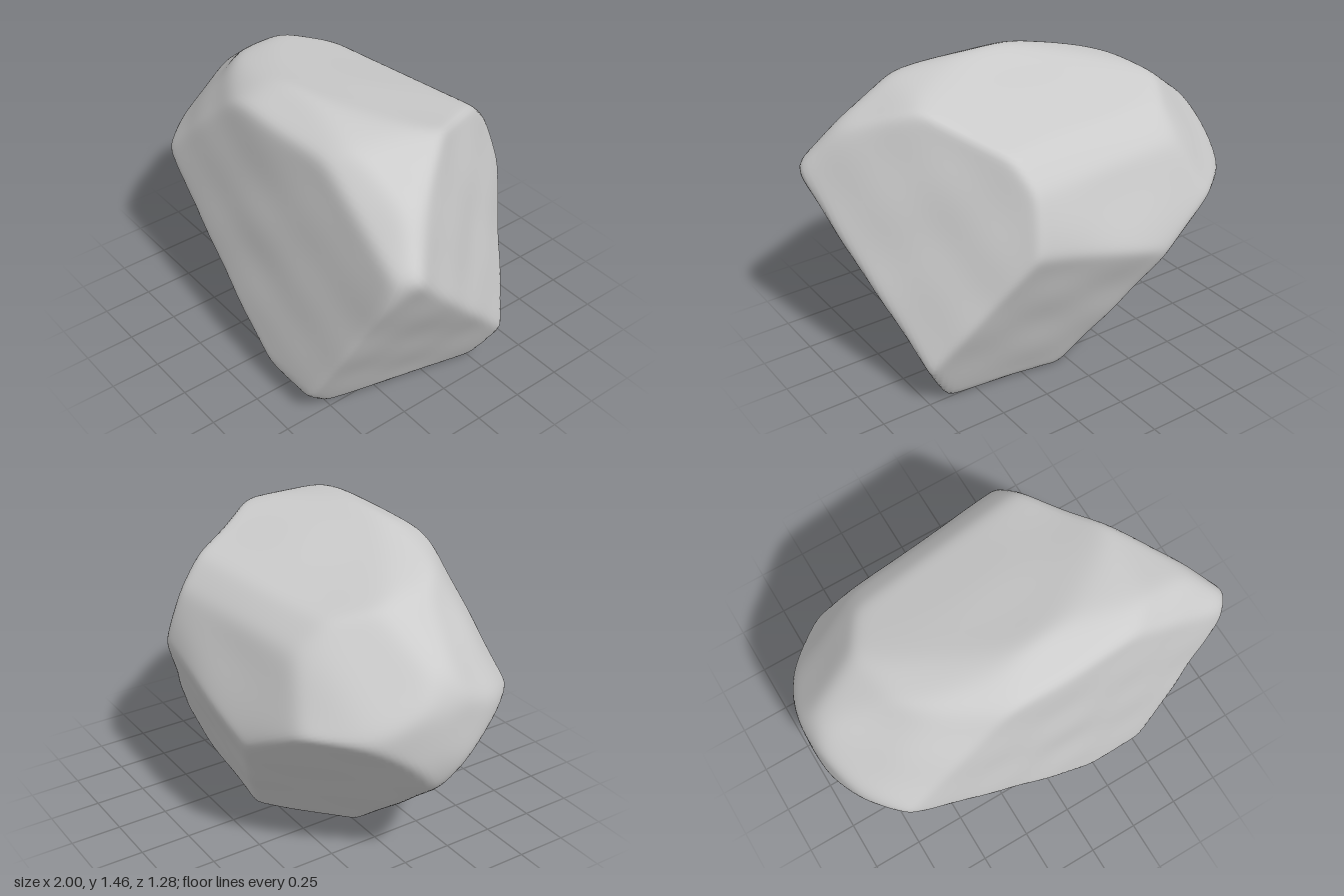
import * as THREE from 'three';
import { mergeVertices } from 'three/addons/utils/BufferGeometryUtils.js';

// Facets of the boulder: outward normal and distance from the origin.
const facets = [
  // base and the small bevels around it
  [0, -1, 0, 0], [0, -0.68, 0.73, 0.375], [0.55, -0.83, 0, 0.375],
  // broad front, bent very slightly along the middle
  [-0.05, 0.12, 0.99, 0.665], [0.04, 0.12, 0.99, 0.665],
  // lower left cut on the front, the two large right cuts and the blunt right tip
  [-0.51, -0.644, 0.569, 0.175], [0.873, -0.443, 0.204, 0.515], [0.805, 0.256, -0.535, 0.87],
  [0.75, 0, 0.66, 1.045],
  // undercut back, upright back and the rounded back shoulder
  [0.12, -0.37, -0.92, 0.31], [0, 0.2, -0.98, 0.79], [-0.25, 0, -0.97, 0.705],
  [-0.1, 0.72, -0.69, 1.17], [-0.12, 0.35, -0.93, 0.875], [-0.5, 0.5, -0.7, 1.13],
  // sloping top and its rounded rim
  [-0.057, 0.956, -0.287, 1.315], [0.115, 0.993, 0, 1.48], [-0.23, 0.97, 0, 1.435],
  [0.46, 0.89, 0, 1.525], [0.78, 0.62, 0, 1.445], [0, 0.9, 0.43, 1.455], [0, 0.6, 0.8, 1.225],
  [-0.47, 0.54, 0.7, 1.18], [-0.65, 0.6, 0.47, 1.285], [-0.3, 0.85, 0.43, 1.425], [0.4, 0.65, 0.65, 1.39],
  // rounded left end
  [-1, 0, 0, 1.015], [-0.95, 0, 0.3, 0.985], [-0.95, 0, -0.3, 0.985],
  [-0.8, 0, 0.6, 0.955], [-0.8, 0, -0.6, 0.935], [-0.61, 0.79, 0, 1.43], [-0.9, 0.44, 0, 1.32],
  [-0.6, 0.6, -0.5, 1.23],
  // underside of the left end
  [-0.65, -0.76, 0, 0.23], [-0.95, -0.3, 0, 0.75], [-0.5, -0.62, -0.6, 0.165],
].map(([x, y, z, d]) => {
  const n = new THREE.Vector3(x, y, z);
  const len = n.length();
  return { n: n.divideScalar(len), d: d / len };
});

const centre = new THREE.Vector3(0, 0.7, 0);
const sharpness = 60;

// Distance from the centre to the softly blended facets.
function radius(dir) {
  let sum = 0;
  for (const { n, d } of facets) {
    const along = n.dot(dir);
    if (along > 0) sum += Math.pow(along / (d - n.dot(centre)), sharpness);
  }
  return Math.pow(sum, -1 / sharpness);
}

// Gentle weathering ripples.
function ripple(p) {
  return 0.004 * Math.sin(7 * p.x + 9 * p.y + 2) * Math.sin(8 * p.z - 5 * p.y)
    + 0.003 * Math.sin(13 * p.y - 6 * p.x) * Math.cos(11 * p.z + 4 * p.x);
}

export function createModel() {
  let geometry = new THREE.IcosahedronGeometry(1, 44);
  geometry.deleteAttribute('normal');
  geometry.deleteAttribute('uv');
  geometry = mergeVertices(geometry, 1e-5);

  // Push every point of the ball out to the facets.
  const pos = geometry.attributes.position;
  const p = new THREE.Vector3();
  for (let i = 0; i < pos.count; i++) {
    const dir = p.fromBufferAttribute(pos, i).normalize().clone();
    p.multiplyScalar(radius(dir));
    p.addScaledVector(dir, ripple(p)).add(centre);
    pos.setXYZ(i, p.x, Math.max(p.y, 0), p.z);
  }
  geometry.computeVertexNormals();

  const boulder = new THREE.Mesh(geometry, new THREE.MeshStandardMaterial({ color: 0xcccccc }));
  boulder.name = 'boulder';
  const group = new THREE.Group();
  group.name = 'rock';
  group.add(boulder);
  return group;
}
